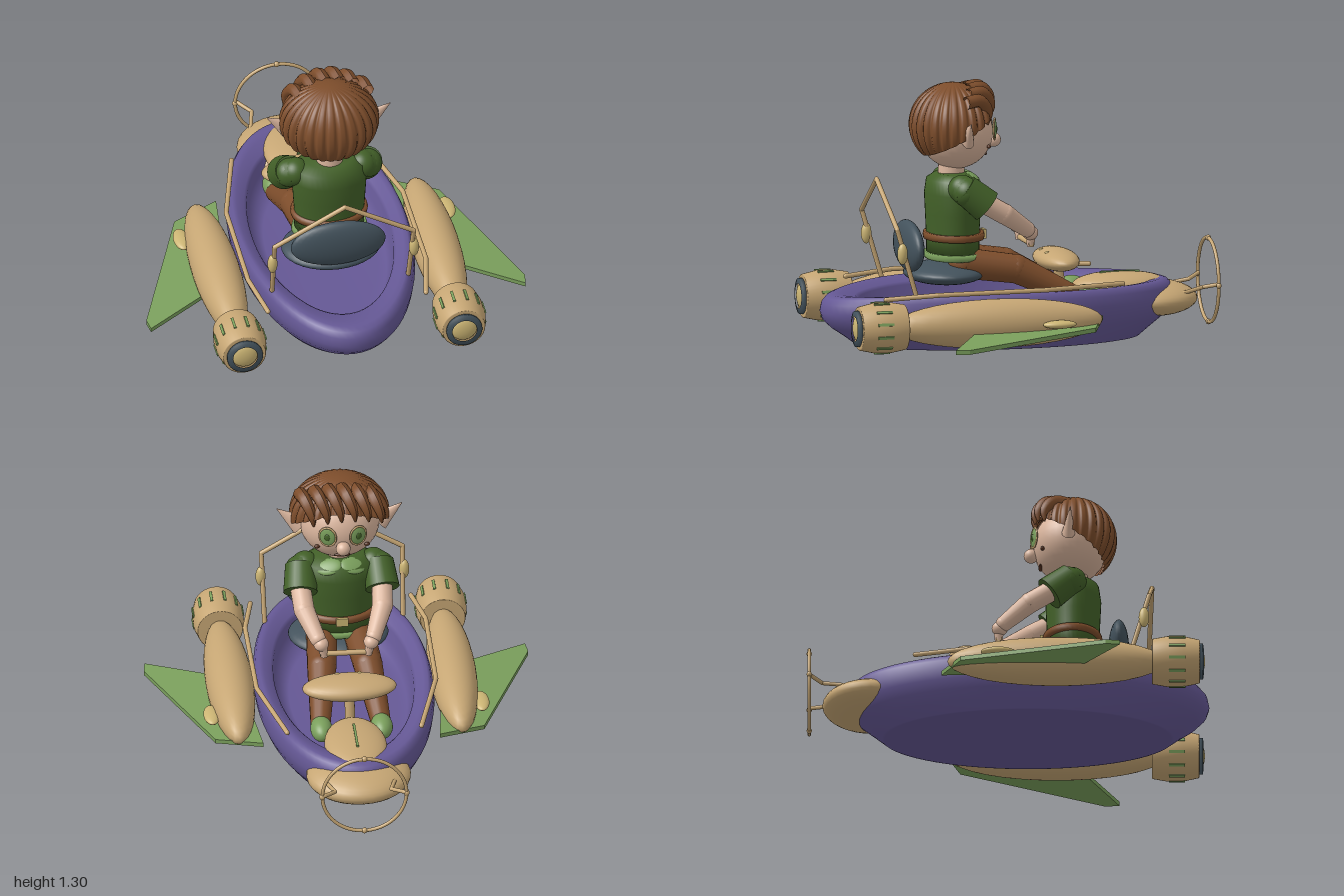
import * as THREE from 'three';
import { ParametricGeometry } from 'three/addons/geometries/ParametricGeometry.js';

const material = (name, color, side = THREE.FrontSide) => {
  const m = new THREE.MeshStandardMaterial({ color, side });
  m.name = name;
  return m;
};

export function createModel() {
  const purple = material('hull purple', 0x655895);
  const tan = material('tan', 0xc6a674);
  const lamp = material('lamp yellow', 0xccb574);
  const slate = material('slate', 0x43525c);
  const brown = material('brown', 0x7d4d2b, THREE.DoubleSide);
  const green = material('shirt green', 0x426028);
  const leaf = material('leaf green', 0x7a9f5c);
  const skin = material('skin', 0xdab59d);
  const dark = material('dark brown', 0x553220);

  const model = new THREE.Group();
  model.name = 'hoverBoat';
  const V = (p) => new THREE.Vector3(...p);
  const add = (name, geo, mat, pos = [0, 0, 0]) => {
    const m = new THREE.Mesh(geo, mat);
    m.name = name;
    m.position.set(...pos);
    model.add(m);
    return m;
  };
  const ball = (name, mat, pos, r) =>
    add(name, new THREE.SphereGeometry(1, 32, 20).scale(...r), mat, pos);
  // Straight round rod between two points, with its own radius at each end
  const rod = (name, mat, a, b, r0, r1 = r0, sides = 16) => {
    const d = V(b).sub(V(a));
    const m = add(name, new THREE.CylinderGeometry(r1, r0, d.length(), sides), mat);
    m.position.copy(V(a)).addScaledVector(d, 0.5);
    m.quaternion.setFromUnitVectors(new THREE.Vector3(0, 1, 0), d.normalize());
    return m;
  };
  // Chain of rods with round joints; each point is [x, y, z, radius]
  const chain = (name, mat, pts) => pts.forEach((p, i) => {
    const c = p.slice(0, 3);
    ball(name + 'Joint', mat, c, [p[3], p[3], p[3]]);
    if (i) rod(name, mat, pts[i - 1].slice(0, 3), c, pts[i - 1][3], p[3]);
  });
  const lathe = (pts, n = 40) =>
    new THREE.LatheGeometry(pts.map(([r, y]) => new THREE.Vector2(r, y)), n);

  // Hull: oval tub with rolled rim and a hollow cockpit, lower at the stern
  const hullGeo = lathe([[0, 0], [0.79, 0], [0.805, 0.002], [0.87, 0.05], [0.94, 0.1], [0.985, 0.15],
    [1, 0.2], [0.99, 0.25], [0.965, 0.277], [0.93, 0.287], [0.88, 0.282], [0.8, 0.26], [0.775, 0.245],
    [0.755, 0.19], [0.7, 0.135], [0.6, 0.12], [0, 0.12]], 72).scale(0.445, 1, 0.9).translate(0, 0, 0.1);
  const hp = hullGeo.attributes.position;
  for (let i = 0; i < hp.count; i++) {
    const t = Math.max(0, (hp.getZ(i) - 0.4) / 0.6);
    hp.setY(i, hp.getY(i) * (1 - 0.16 * t * t));
  }
  add('hull', hullGeo, purple);

  // Nose cap, fore deck and its slit
  ball('noseCap', tan, [0, 0.18, -0.68], [0.26, 0.09, 0.24]);
  ball('foreDeck', tan, [0, 0.255, -0.53], [0.155, 0.06, 0.24]);
  add('deckSlit', new THREE.BoxGeometry(0.012, 0.012, 0.2), leaf, [0, 0.313, -0.53]);

  // Front ring with beads
  add('frontRing', new THREE.TorusGeometry(0.21, 0.009, 10, 64), tan, [0, 0.255, -0.985]);
  for (let i = 0; i < 4; i++) {
    const a = i * Math.PI / 2;
    ball('ringBead', tan, [0.21 * Math.cos(a), 0.255 + 0.21 * Math.sin(a), -0.985], [0.015, 0.015, 0.013]);
  }

  // Seat
  ball('seatCushion', slate, [0, 0.345, 0.37], [0.25, 0.055, 0.2]);
  ball('seatBack', slate, [0, 0.485, 0.55], [0.24, 0.127, 0.052]);

  // Control console and handle
  ball('console', tan, [0, 0.39, -0.205], [0.235, 0.055, 0.105]);
  rod('handleBar', tan, [-0.13, 0.49, -0.045], [0.13, 0.49, -0.045], 0.014);
  rod('controlColumn', tan, [0, 0.13, -0.25], [0, 0.37, -0.21], 0.025);

  // Paired boat parts
  const finOutline = [[0.44, -0.33], [0.67, -0.235], [0.958, 0.485], [0.948, 0.555], [0.6, 0.35], [0.5, 0.25]];
  for (const s of [-1, 1]) {
    chain('ringStrut', tan, [[s * 0.17, 0.215, -0.8, 0.01], [s * 0.14, 0.24, -0.92, 0.01], [s * 0.2, 0.26, -0.985, 0.01]]);
    chain('sideRail', tan, [[s * 0.335, 0.305, -0.46, 0.012], [s * 0.447, 0.305, -0.04, 0.012],
      [s * 0.45, 0.3, 0.52, 0.012], [s * 0.4, 0.28, 0.77, 0.012]]);
    chain('rollBar', tan, [[s * 0.345, 0.28, 0.6, 0.012], [s * 0.352, 0.62, 0.7, 0.012], [0, 0.825, 0.715, 0.012]]);
    ball('rollBarLamp', lamp, [s * 0.358, 0.5, 0.675], [0.025, 0.053, 0.026]);
    ball('consoleButton', lamp, [s * 0.055, 0.428, -0.145], [0.014, 0.01, 0.012]);

    // Engine pod, tail drum, exhaust and vents
    const x = s * 0.555, y = 0.165;
    ball('enginePod', tan, [x, y, 0.24], [0.118, 0.122, 0.54]);
    add('engineDrum', lathe([[0, 0.715], [0.11, 0.715], [0.113, 0.718], [0.126, 0.79], [0.126, 0.87],
      [0.109, 0.948], [0.105, 0.952], [0, 0.952]]).rotateX(Math.PI / 2), tan, [x, y, 0]);
    add('exhaustRing', lathe([[0.06, 0.95], [0.09, 0.95], [0.09, 0.968], [0.062, 0.972]]).rotateX(Math.PI / 2), slate, [x, y, 0]);
    ball('exhaustDome', lamp, [x, y, 0.95], [0.066, 0.066, 0.028]);
    for (let i = 0; i < 12; i++) {
      const a = (i + 0.5) * Math.PI / 6;
      const vent = add('engineVent', new THREE.BoxGeometry(0.01, 0.014, 0.08), leaf,
        [x + 0.126 * Math.cos(a), y + 0.126 * Math.sin(a), 0.84]);
      vent.rotation.z = a;
    }
    ball('podLamp', lamp, [s * 0.672, y, -0.05], [0.04, 0.021, 0.085]);

    // Swept fin, sloping down towards its tip
    const shape = new THREE.Shape(finOutline.map(([px, pz]) => new THREE.Vector2(s * px, -pz)));
    const finGeo = new THREE.ExtrudeGeometry(shape, { depth: 0.022, bevelEnabled: false }).rotateX(-Math.PI / 2);
    const fp = finGeo.attributes.position;
    for (let i = 0; i < fp.count; i++)
      fp.setY(i, fp.getY(i) + 0.143 - 0.1 * (Math.abs(fp.getX(i)) - 0.44) - 0.018 * (fp.getZ(i) + 0.33));
    finGeo.computeVertexNormals();
    add('fin', finGeo, leaf);
  }

  // Pilot's body: tunic, belt and hem
  add('tunic', lathe([[0, 0], [0.165, 0], [0.165, 0.08], [0.172, 0.2], [0.178, 0.3], [0.165, 0.37],
    [0.11, 0.4], [0, 0.405]]).scale(1.06, 1, 0.78), green, [0, 0.445, 0.325]);
  add('tunicHem', lathe([[0, 0], [0.165, 0], [0.18, 0.012], [0.175, 0.035], [0, 0.04]]).scale(1.06, 1, 0.8), leaf, [0, 0.415, 0.325]);
  add('belt', lathe([[0.16, 0], [0.18, 0], [0.184, 0.018], [0.18, 0.035], [0.16, 0.035]]).scale(1.06, 1, 0.82), brown, [0, 0.515, 0.32]);
  add('beltBuckle', new THREE.BoxGeometry(0.06, 0.045, 0.014), lamp, [0, 0.533, 0.167]);
  rod('neck', skin, [0, 0.8, 0.335], [0, 0.92, 0.33], 0.068, 0.064, 24);

  // Limbs and ears
  for (const s of [-1, 1]) {
    const collar = ball('collar', leaf, [s * 0.06, 0.82, 0.235], [0.065, 0.016, 0.045]);
    collar.rotation.set(-0.6, 0, s * -0.25);
    chain('sleeve', green, [[s * 0.17, 0.785, 0.32, 0.07], [s * 0.2, 0.77, 0.3, 0.073]]);
    rod('sleeveCuff', green, [s * 0.195, 0.79, 0.315], [s * 0.205, 0.7, 0.205], 0.075, 0.085, 24);
    chain('arm', skin, [[s * 0.205, 0.73, 0.24, 0.052], [s * 0.195, 0.655, 0.11, 0.052], [s * 0.14, 0.565, -0.02, 0.04]]);
    ball('hand', skin, [s * 0.125, 0.545, -0.04], [0.038, 0.036, 0.04]);
    rod('fingers', skin, [s * 0.12, 0.54, -0.045], [s * 0.11, 0.475, -0.045], 0.026, 0.018);
    chain('leg', brown, [[s * 0.09, 0.4, 0.29, 0.078], [s * 0.115, 0.365, 0.03, 0.073], [s * 0.15, 0.22, -0.27, 0.05]]);
    ball('shoe', leaf, [s * 0.15, 0.225, -0.32], [0.055, 0.055, 0.085]);

    const ear = rod('ear', skin, [s * 0.195, 1.035, 0.3], [s * 0.312, 1.13, 0.31], 0.055, 0.002, 20);
    ear.scale.z = 0.6;

    // Spectacles, brows and freckle
    const eye = new THREE.Group();
    eye.name = 'eye';
    const lens = new THREE.Mesh(new THREE.SphereGeometry(1, 24, 16).scale(0.04, 0.05, 0.01), leaf);
    lens.name = 'lens';
    const pupil = new THREE.Mesh(new THREE.SphereGeometry(1, 16, 12).scale(0.014, 0.02, 0.006), green);
    pupil.name = 'pupil';
    pupil.position.z = 0.008;
    const rim = new THREE.Mesh(new THREE.TorusGeometry(0.043, 0.005, 8, 32).scale(1, 1.2, 1), tan);
    rim.name = 'lensRim';
    eye.add(lens, pupil, rim);
    eye.position.set(s * 0.076, 1.065, 0.13);
    eye.rotation.y = Math.PI - s * 0.35;
    model.add(eye);
    ball('freckle', dark, [s * 0.125, 0.985, 0.172], [0.014, 0.01, 0.01]);
  }

  // Head and face
  ball('head', skin, [0, 1.05, 0.31], [0.2, 0.185, 0.185]);
  ball('nose', skin, [0, 1.0, 0.115], [0.036, 0.036, 0.036]);
  const mouth = ball('mouth', dark, [0, 0.936, 0.162], [0.04, 0.009, 0.01]);
  mouth.rotation.x = -0.5;

  // Ribbed hair cap, short over the face and long at the back
  add('hair', new ParametricGeometry((u, v, target) => {
    const phi = u * Math.PI * 2, back = (1 + Math.cos(phi)) / 2;
    const theta = v * (1.05 + 1.3 * Math.pow(back, 0.75));
    const rib = 1 - 0.06 * Math.pow(Math.abs(Math.cos(phi * 13)), 5) * Math.min(1, theta * 2);
    const r = Math.sin(theta) * rib;
    target.set(0.25 * r * Math.sin(phi), 1.085 + 0.21 * Math.cos(theta), 0.325 + 0.217 * r * Math.cos(phi));
  }, 208, 20), brown);

  // Slanted fringe locks
  for (let i = 0; i < 6; i++) {
    const x = -0.17 + i * 0.068, c = x * x * 1.6;
    const path = new THREE.CatmullRomCurve3([[x + 0.03, 1.265 - c, 0.26 + c], [x + 0.01, 1.27 - c, 0.185 + c],
      [x - 0.02, 1.21 - c, 0.135 + c], [x - 0.03, 1.145 - c, 0.135 + c]].map(V));
    const lock = new THREE.TubeGeometry(path, 14, 0.034, 8);
    const lp = lock.attributes.position;
    // Taper each lock to a point at its free end
    for (let k = 0; k < lp.count; k++) {
      const t = Math.floor(k / 9) / 14, o = path.getPointAt(t);
      const p = new THREE.Vector3().fromBufferAttribute(lp, k).sub(o).multiplyScalar(1 - 0.85 * t * t * t).add(o);
      lp.setXYZ(k, p.x, p.y, p.z);
    }
    lock.computeVertexNormals();
    add('fringeLock', lock, brown);
  }
  return model;
}
